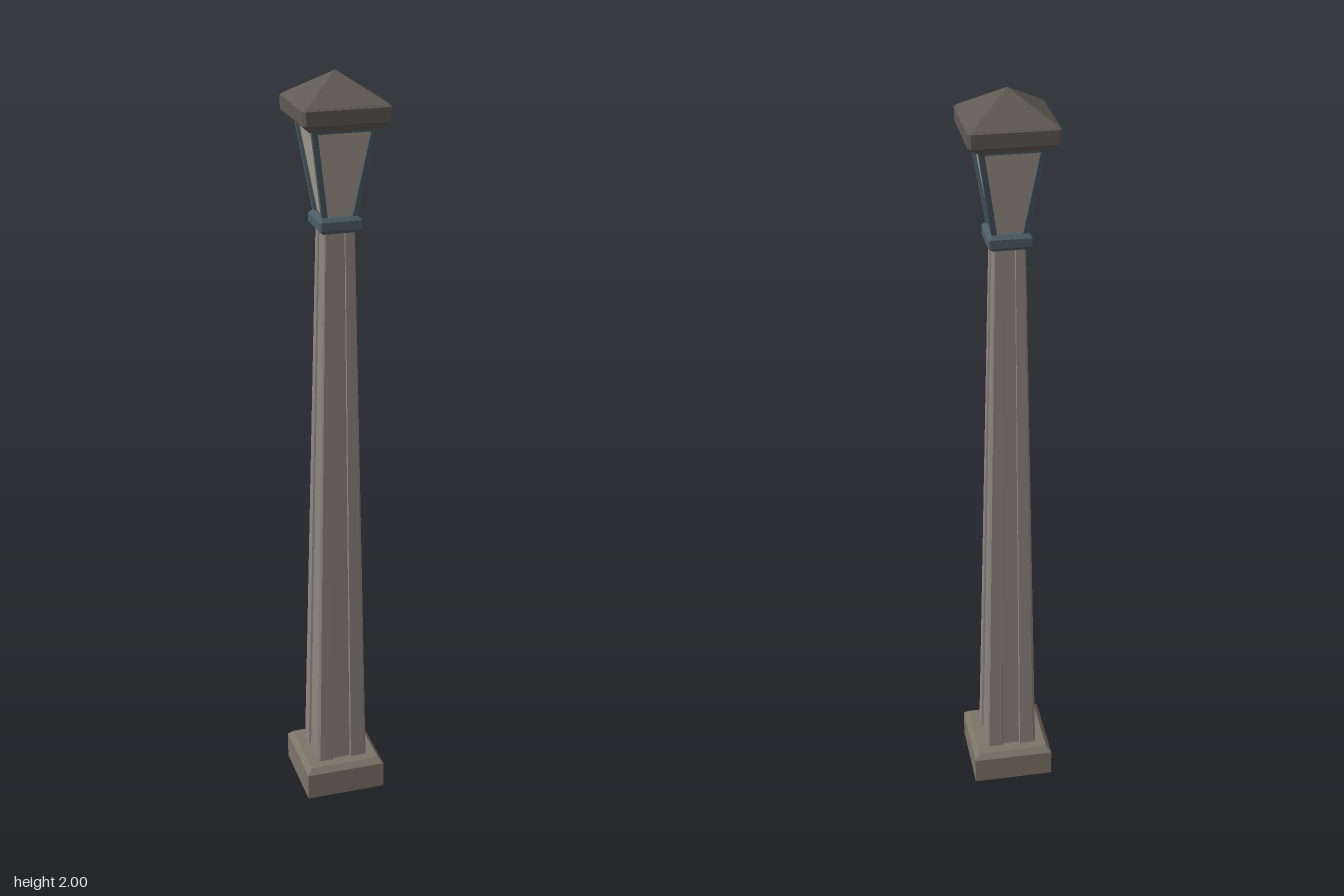
import * as THREE from 'three';

const material = (color) => new THREE.MeshStandardMaterial({ color, flatShading: true });

// Repeat a quarter outline around the four sides
function fourSides(quarter) {
  const out = [];
  for (let k = 0; k < 4; k++) {
    for (const [u, v] of quarter) {
      const c = [1, 0, -1, 0][k], s = [0, 1, 0, -1][k];
      out.push([u * c - v * s, u * s + v * c]);
    }
  }
  return out;
}

// Loft a closed outline through levels [y, size, centreX, centreZ]
function loft(name, outline, levels, mat) {
  const pos = [];
  const n = outline.length;
  const at = ([y, s, cx = 0, cz = 0], i) => {
    const [u, v] = outline[i % n];
    return [cx + u * s, y, cz - v * s];
  };
  const mid = ([y, , cx = 0, cz = 0]) => [cx, y, cz];
  const first = levels[0], last = levels[levels.length - 1];
  for (let i = 0; i < n; i++) {
    for (let k = 0; k + 1 < levels.length; k++) {
      const a = at(levels[k], i), b = at(levels[k], i + 1);
      const c = at(levels[k + 1], i + 1), d = at(levels[k + 1], i);
      pos.push(...a, ...b, ...c);
      if (levels[k + 1][1] > 0) pos.push(...a, ...c, ...d);
    }
    pos.push(...mid(first), ...at(first, i + 1), ...at(first, i));
    if (last[1] > 0) pos.push(...mid(last), ...at(last, i), ...at(last, i + 1));
  }
  const geo = new THREE.BufferGeometry();
  geo.setAttribute('position', new THREE.Float32BufferAttribute(pos, 3));
  geo.computeVertexNormals();
  const mesh = new THREE.Mesh(geo, mat);
  mesh.name = name;
  return mesh;
}

export function createModel() {
  const group = new THREE.Group();
  group.name = 'lampPost';

  const stone = material(0x8f8580);
  const plinth = material(0x7d7468);
  const roof = material(0x5f5a53);
  const metal = material(0x4c5c66);
  const glass = material(0xa89f93);

  const square = fourSides([[1, 1]]);
  const bevelled = fourSides([[1, -0.93], [1, 0.93]]);
  // Column outline: bevelled corners and a shallow groove on each side
  const grooved = fourSides([
    [1, -0.9], [1, -0.36], [0.91, -0.33], [0.91, 0.33], [1, 0.36], [1, 0.9],
  ]);

  // Base block
  group.add(loft('base', square, [[0, 0.11], [0.075, 0.11], [0.09, 0.097]], plinth));

  // Tapered column
  group.add(loft('column', grooved, [[0.09, 0.071], [1.62, 0.04]], stone));

  // Collar under the lantern
  group.add(loft('collar', bevelled,
    [[1.61, 0.045], [1.62, 0.055], [1.642, 0.055], [1.652, 0.046]], metal));

  // Lantern glass and frame
  group.add(loft('lanternGlass', square, [[1.645, 0.036], [1.875, 0.074]], glass));
  for (const sx of [-1, 1]) {
    for (const sz of [-1, 1]) {
      group.add(loft('lanternCornerBar', square, [
        [1.645, 0.007, sx * 0.038, sz * 0.038],
        [1.875, 0.007, sx * 0.075, sz * 0.075],
      ], metal));
    }
  }
  group.add(loft('lanternTopRail', square, [[1.865, 0.08], [1.88, 0.082]], metal));

  // Roof: flared eave, fascia and pyramid
  group.add(loft('roof', bevelled,
    [[1.872, 0.088], [1.892, 0.11], [1.927, 0.111], [1.932, 0.106], [2, 0]], roof));

  return group;
}
